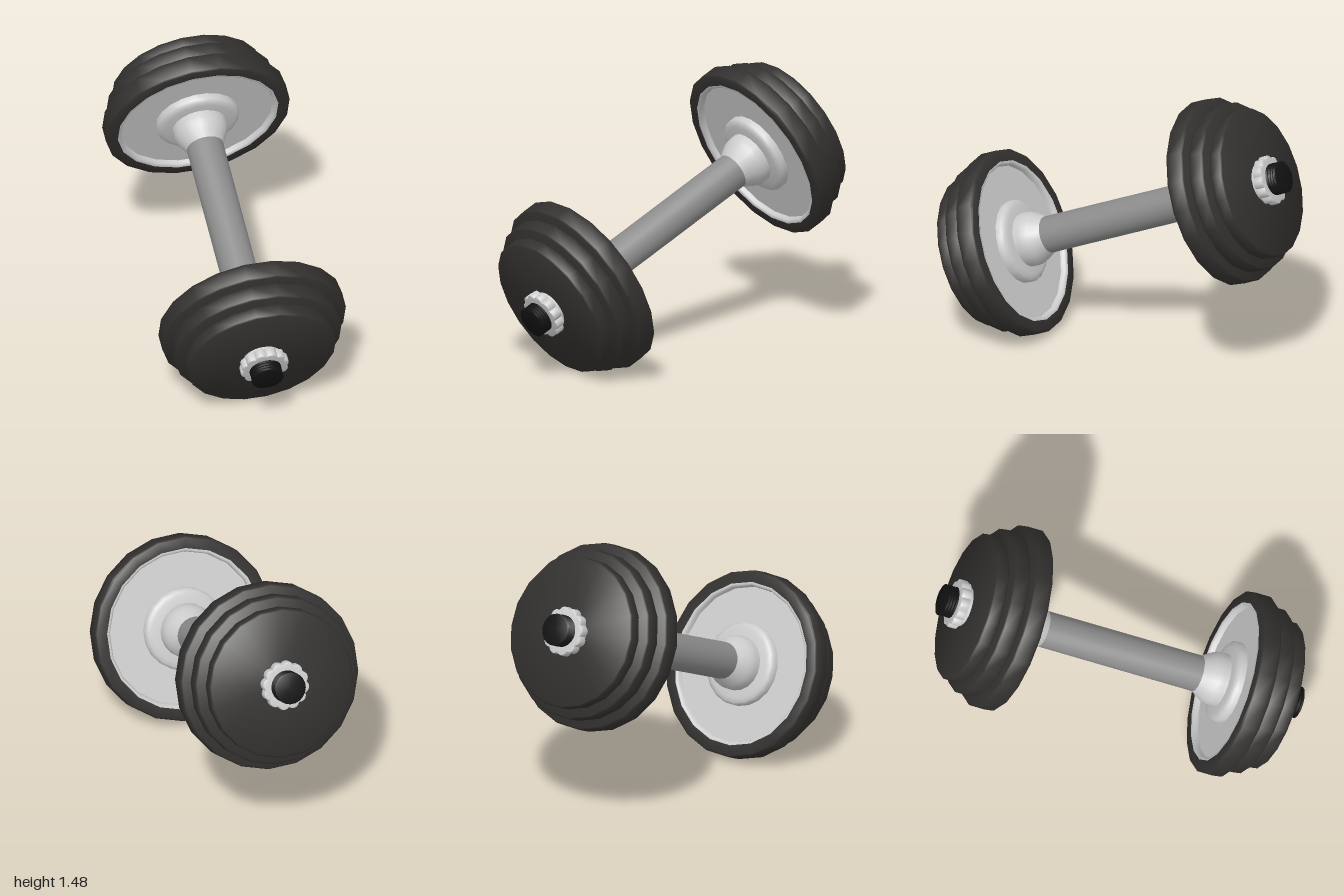
import * as THREE from 'three';
import { toCreasedNormals } from 'three/addons/utils/BufferGeometryUtils.js';

const SIDES = 20;
const grey = new THREE.MeshStandardMaterial({ color: 0xcccccc });
const steel = new THREE.MeshStandardMaterial({ color: 0x8c8c8c });
const rubber = new THREE.MeshStandardMaterial({ color: 0x33312f });
const black = new THREE.MeshStandardMaterial({ color: 0x121212 });

// Turned part along +z from [radius, z] pairs listed from inner end to outer end
function turned(name, profile, material, sides = SIDES) {
  const points = profile.map(([r, z]) => new THREE.Vector2(r, z));
  const geometry = new THREE.LatheGeometry(points, sides, Math.PI / sides).rotateX(Math.PI / 2);
  const mesh = new THREE.Mesh(toCreasedNormals(geometry, 0.9), material);
  mesh.name = name;
  return mesh;
}

// Disc with slightly bevelled rim; hole > 0 leaves the inner face open to that radius
function plate(name, radius, z0, z1, hole) {
  const b = 0.008;
  return turned(name, [
    [hole, z0], [radius - b, z0], [radius, z0 + b],
    [radius, z1 - b], [radius - b, z1], [0, z1],
  ], rubber);
}

// Scalloped locking nut
function lockNut() {
  const lobes = 12, shape = new THREE.Shape(), steps = lobes * 8;
  for (let i = 0; i < steps; i++) {
    const a = (i / steps) * Math.PI * 2;
    const r = 0.109 + 0.016 * Math.abs(Math.sin(a * lobes / 2));
    shape[i ? 'lineTo' : 'moveTo'](r * Math.cos(a), r * Math.sin(a));
  }
  const geometry = new THREE.ExtrudeGeometry(shape, {
    depth: 0.04, bevelThickness: 0.008, bevelSize: 0.008, bevelSegments: 2,
  });
  const mesh = new THREE.Mesh(toCreasedNormals(geometry, 0.7), grey);
  mesh.name = 'lockNut';
  mesh.position.z = 0.938;
  return mesh;
}

// Threaded rod end
function threadedRod() {
  const profile = [[0.08, 0.88]];
  for (let z = 0.93; z < 1.045; z += 0.016) profile.push([0.08, z], [0.087, z + 0.008]);
  profile.push([0.08, 1.053], [0, 1.053]);
  return turned('threadedRod', profile, black);
}

function weightEnd() {
  const end = new THREE.Group();
  end.add(
    // Flared collar between grip and hub
    turned('collar', [
      [0.1, 0.455], [0.118, 0.485], [0.135, 0.515], [0.145, 0.54], [0.148, 0.565], [0.148, 0.605],
    ], grey),
    // Raised hub disc
    turned('hubDisc', [
      [0.14, 0.592], [0.19, 0.596], [0.213, 0.602], [0.226, 0.616], [0.226, 0.655],
    ], grey),
    // Recessed inner face with its bevelled rim
    turned('innerFace', [[0.1, 0.65], [0.42, 0.65]], grey),
    turned('innerRim', [[0.42, 0.651], [0.424, 0.628], [0.432, 0.619], [0.443, 0.619]], grey),
    plate('largePlate', 0.507, 0.62, 0.725, 0.44),
    plate('mediumPlate', 0.46, 0.735, 0.825, 0),
    plate('smallPlate', 0.409, 0.835, 0.911, 0),
    // Core closing the gaps between plates
    turned('plateCore', [[0.3, 0.7], [0.3, 0.9]], rubber),
    turned('washer', [[0.107, 0.905], [0.107, 0.938], [0, 0.938]], grey),
    lockNut(),
    threadedRod(),
  );
  return end;
}

export function createModel() {
  const model = new THREE.Group();
  model.name = 'dumbbell';

  const tilted = new THREE.Group();
  tilted.name = 'tiltedDumbbell';
  tilted.add(turned('grip', [[0.1, -0.46], [0.1, 0.46]], steel));

  // Two identical ends, facing away from each other
  ['frontWeight', 'backWeight'].forEach((name, i) => {
    const end = weightEnd();
    end.name = name;
    end.rotation.y = i * Math.PI;
    tilted.add(end);
  });

  tilted.rotation.set(THREE.MathUtils.degToRad(23), 0.014, 0);
  tilted.position.y = 0.75;
  model.add(tilted);
  return model;
}
